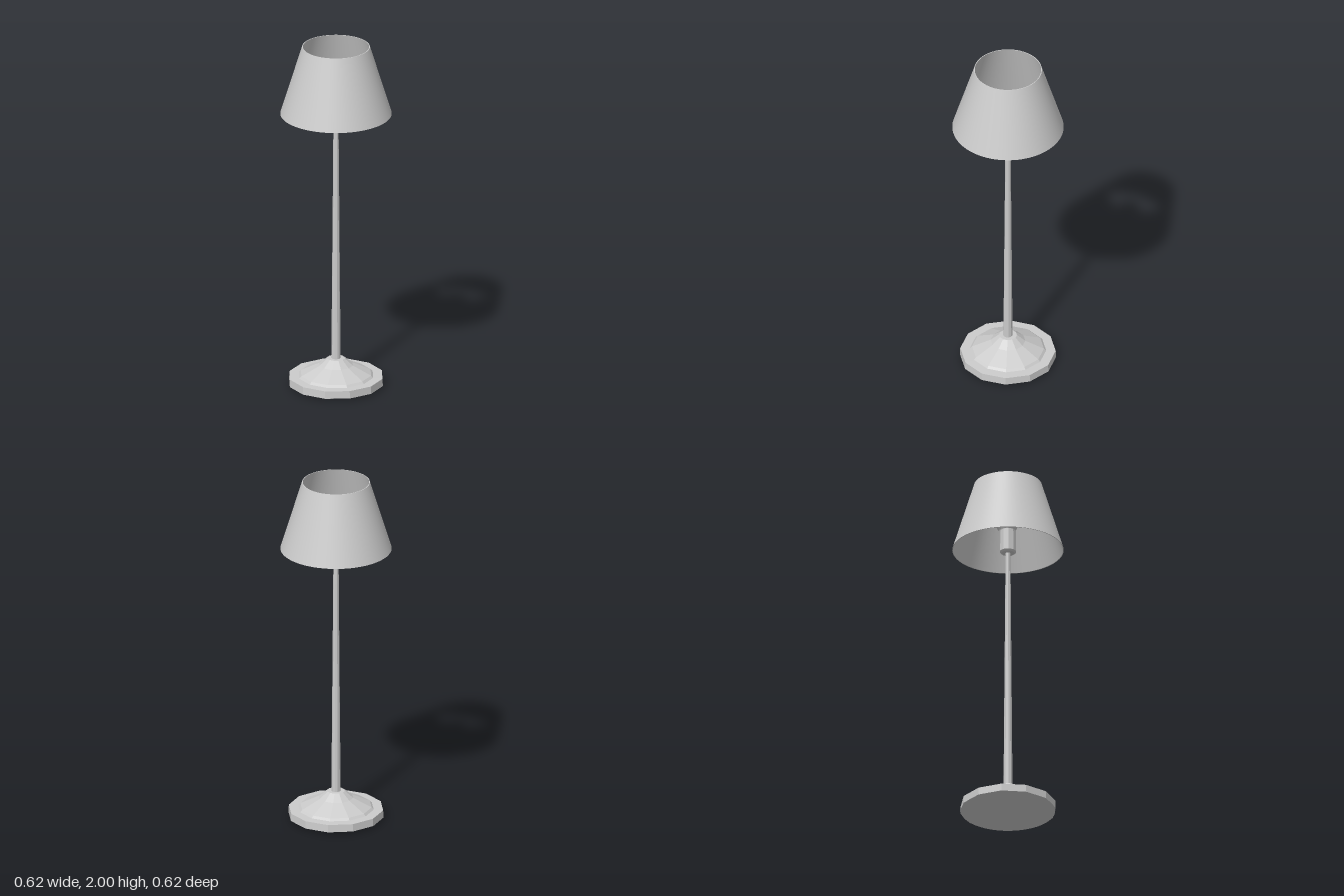
import * as THREE from 'three';

const grey = (opts = {}) => new THREE.MeshStandardMaterial({ color: 0xcccccc, ...opts });

// Turned part from [radius, height] pairs, listed bottom to top
function turned(name, profile, sides, opts) {
  const points = profile.map(([r, y]) => new THREE.Vector2(r, y));
  const mesh = new THREE.Mesh(new THREE.LatheGeometry(points, sides), grey(opts));
  mesh.name = name;
  return mesh;
}

export function createModel() {
  const lamp = new THREE.Group();
  lamp.name = 'floorLamp';
  const faceted = { flatShading: true };

  // Shallow round underside
  lamp.add(turned('baseUnderside', [[0, 0], [0.16, 0], [0.262, 0.01]], 48));

  // Faceted foot: rim, step and sloping cone
  lamp.add(turned('base', [
    [0.262, 0.01], [0.267, 0.012], [0.265, 0.055], [0.212, 0.056], [0.2, 0.068],
    [0.096, 0.119], [0.05, 0.157], [0, 0.157],
  ], 12, faceted));

  // Tapered pole
  lamp.add(turned('pole', [[0.026, 0.15], [0.014, 1.6]], 10, faceted));

  // Bulb holder with chamfered lower edge
  const holder = turned('bulbHolder', [
    [0, 1.585], [0.038, 1.585], [0.047, 1.594], [0.045, 1.72],
  ], 10, faceted);
  lamp.add(holder);

  // Flared bulb with a low domed top
  const bulb = turned('bulb', [
    [0.045, 1.72], [0.055, 1.735], [0.068, 1.765], [0.066, 1.785], [0.055, 1.81], [0, 1.822],
  ], 14, faceted);
  bulb.position.z = -0.006;
  lamp.add(bulb);

  // Open conical shade: outer wall, inner wall and a thin lip at each end
  const walls = { side: THREE.DoubleSide };
  lamp.add(turned('shadeOuter', [[0.309, 1.605], [0.188, 2]], 64, walls));
  lamp.add(turned('shadeInner', [[0.184, 2], [0.305, 1.605]], 64, walls));
  lamp.add(turned('shadeTopLip', [[0.188, 2], [0.184, 2]], 64, walls));
  lamp.add(turned('shadeBottomLip', [[0.305, 1.605], [0.309, 1.605]], 64, walls));

  return lamp;
}
